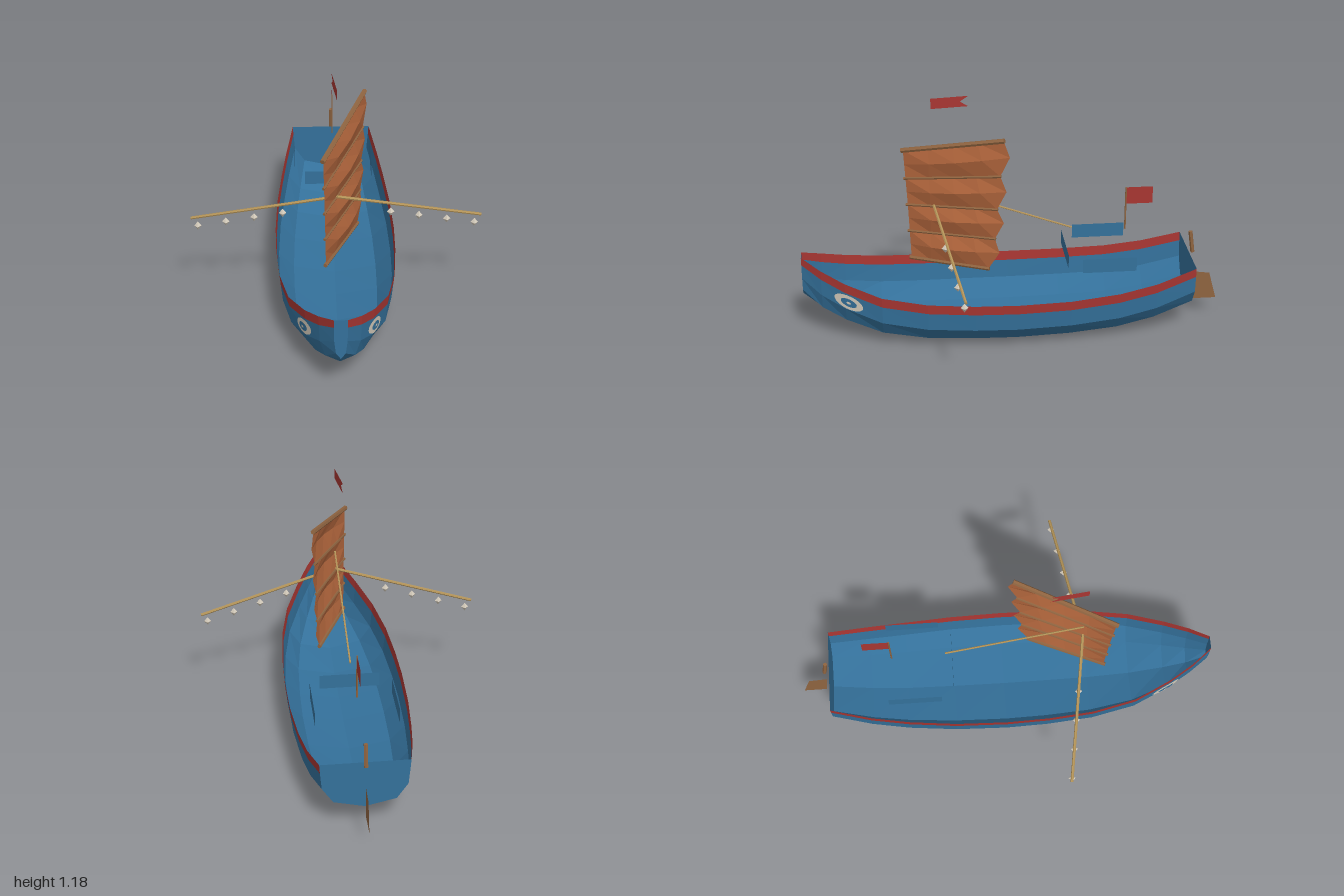
import * as THREE from 'three';

const mat = (name, color, flat = true) => {
  const m = new THREE.MeshStandardMaterial({ color, side: THREE.DoubleSide, flatShading: flat });
  m.name = name;
  return m;
};

// hull stations: z, half breadth, keel height, rail height
const STATIONS = [
  [1, 0.03, 0.22, 0.42], [0.91, 0.093, 0.14, 0.378], [0.8, 0.152, 0.088, 0.335],
  [0.63, 0.222, 0.035, 0.287], [0.42, 0.263, 0.01, 0.263], [0.2, 0.28, 0.003, 0.253],
  [0, 0.285, 0, 0.25], [-0.25, 0.278, 0.006, 0.254], [-0.48, 0.258, 0.02, 0.27],
  [-0.66, 0.235, 0.055, 0.3], [-0.85, 0.2, 0.12, 0.355],
];
// half section: share of breadth, share of height
const SECTION = [[0, 0], [0.7, 0.14], [0.95, 0.46], [0.985, 0.81], [1, 1]];

// surface from a grid of points given by rows
function gridGeometry(rows) {
  const n = rows[0].length, index = [];
  for (let i = 0; i < rows.length - 1; i++)
    for (let j = 0; j < n - 1; j++) {
      const a = i * n + j, b = a + n;
      index.push(a, b, a + 1, a + 1, b, b + 1);
    }
  const g = new THREE.BufferGeometry();
  g.setAttribute('position', new THREE.Float32BufferAttribute(rows.flat(2), 3));
  g.setIndex(index);
  g.computeVertexNormals();
  return g;
}

const sectionPoint = ([z, w, k, r], [u, v], side) => [side * w * u, k + (r - k) * v, z];

// outer half breadth of the hull at a height and z
function hullX(y, z) {
  let i = 0;
  while (i < STATIONS.length - 2 && STATIONS[i + 1][0] > z) i++;
  const A = STATIONS[i], B = STATIONS[i + 1], t = (z - A[0]) / (B[0] - A[0]);
  const [, w, k, r] = A.map((a, n) => a + (B[n] - a) * t);
  const v = (y - k) / (r - k);
  let j = 0;
  while (j < SECTION.length - 2 && SECTION[j + 1][1] < v) j++;
  const [u0, v0] = SECTION[j], [u1, v1] = SECTION[j + 1];
  return w * (u0 + (u1 - u0) * (v - v0) / (v1 - v0));
}

export function createModel() {
  const model = new THREE.Group();
  model.name = 'sailingBoat';
  const blue = mat('hull blue', 0x34719b), red = mat('rail red', 0xa83632);
  const canvas = mat('sail orange brown', 0xb0653c), wood = mat('wood', 0x8f6440);
  const bamboo = mat('bamboo', 0xb39358), cream = mat('cream', 0xd6cdbd);

  const add = (name, geometry, material, parent = model) => {
    const m = new THREE.Mesh(geometry, material);
    m.name = name;
    parent.add(m);
    return m;
  };
  const V = (p) => new THREE.Vector3(...p);
  // round bar between two points
  const bar = (name, p, q, r, material, sides = 6) => {
    const a = V(p), b = V(q), d = b.clone().sub(a);
    const m = add(name, new THREE.CylinderGeometry(r, r, d.length(), sides), material);
    m.position.copy(a).add(b).multiplyScalar(0.5);
    m.quaternion.setFromUnitVectors(new THREE.Vector3(0, 1, 0), d.normalize());
    return m;
  };
  // thin sheet drawn in the z-y plane at x = 0
  const sheet = (name, points, material, x = 0) => {
    const g = new THREE.ShapeGeometry(new THREE.Shape(points.map(([z, y]) => new THREE.Vector2(-z, y))));
    g.rotateY(Math.PI / 2);
    return add(name, g, material).translateX(x);
  };

  // open hull shell and red rail strakes
  const lower = SECTION.slice(0, 4);
  add('hull', gridGeometry(STATIONS.map((s) => [
    ...lower.slice(1).reverse().map((p) => sectionPoint(s, p, -1)),
    ...lower.map((p) => sectionPoint(s, p, 1)),
  ])), blue);
  for (const side of [1, -1])
    add('rail', gridGeometry(STATIONS.map((s) => SECTION.slice(3).map((p) => sectionPoint(s, p, side)))), red);

  // flat bow plate and transom
  for (const [name, s] of [['bowPlate', STATIONS[0]], ['transom', STATIONS.at(-1)]])
    add(name, gridGeometry(SECTION.map((p) => [sectionPoint(s, p, -1), sectionPoint(s, p, 1)])), blue);

  // painted eyes that follow the hull planking
  for (const side of [1, -1])
    for (const [name, size, lift, material] of [['eyeWhite', 1, 0.004, cream], ['iris', 0.56, 0.007, blue], ['pupil', 0.17, 0.009, cream]]) {
      const g = new THREE.RingGeometry(0.001, size, 20, 4), p = g.attributes.position;
      for (let i = 0; i < p.count; i++) {
        const a = p.getX(i) * 0.07, b = p.getY(i) * 0.036;
        const z = 0.785 + a * 0.92 - b * 0.38, y = 0.24 + a * 0.38 + b * 0.92;
        p.setXYZ(i, side * (hullX(y, z) + lift), y, z);
      }
      g.computeVertexNormals();
      add(name, g, material);
    }

  // cabin panels
  const front = add('cabinFrontPanel', new THREE.PlaneGeometry(0.28, 0.07), blue);
  front.position.set(0, 0.39, -0.25);
  for (const x of [0.19, -0.19])
    sheet('cabinSidePanel', [[-0.31, 0.355], [-0.565, 0.355], [-0.565, 0.425], [-0.31, 0.425]], blue, x);

  // battens: fore z, fore y, aft z, aft y, radius
  const battens = [
    [0.48, 0.357, 0.125, 0.357, 0.01], [0.485, 0.497, 0.095, 0.518, 0.007],
    [0.49, 0.632, 0.085, 0.67, 0.007], [0.497, 0.765, 0.07, 0.838, 0.007],
    [0.505, 0.905, 0.055, 1.015, 0.012],
  ];
  // the sail plane is swung round the mast line
  const swing = (z, y, out = 0) => [(0.36 - z) * 0.435 + out * 0.92, y, z + out * 0.4];
  for (const [z0, y0, z1, y1, r] of battens)
    bar(r > 0.008 ? 'yard' : 'batten', swing(z0 + 0.008, y0), swing(z1 - 0.004, y1), r, wood);

  // sail cloth bellying between battens, with a scalloped trailing edge
  const cols = 4, rows = [];
  const row = (z0, y0, z1, y1, belly) => rows.push(Array.from({ length: cols + 1 }, (_, i) => {
    const t = i / cols;
    return swing(z0 + (z1 - z0) * t, y0 + (y1 - y0) * t, belly * Math.sin(Math.PI * t));
  }));
  battens.forEach((b, i) => {
    row(b[0], b[1], b[2], b[3], 0);
    const n = battens[i + 1];
    if (!n) return;
    const [z0, y0, z1, y1] = b.slice(0, 4).map((v, k) => (v + n[k]) / 2);
    row(z0, y0, z1 - 0.035, y1 + 0.01, 0.025);
  });
  add('sail', gridGeometry(rows), canvas);

  // lantern poles with hanging lanterns
  for (const side of [1, -1]) {
    bar('lanternPole', [0, 0.647, 0.37], [side * 0.665, 0.485, 0.27], 0.007, bamboo);
    for (const x of [0.245, 0.375, 0.505, 0.635]) {
      const lantern = add('lantern', new THREE.OctahedronGeometry(0.017), cream);
      lantern.scale.y = 1.28;
      lantern.position.set(side * x, 0.605 - x * 0.25, 0.37 - x * 0.15);
    }
  }
  bar('stay', [0, 0.742, 0.37], [0, 0.505, -0.28], 0.0045, bamboo);

  // swallow-tailed pennant
  const pennant = sheet('pennant', [[0, -0.025], [-0.175, -0.025], [-0.135, 0], [-0.175, 0.025], [0, 0.025]], red);
  pennant.position.set(0, 1.155, 0.375);
  pennant.rotation.y = 0.115;

  // stern flag
  bar('flagStaff', [0, 0.485, -0.537], [0, 0.7, -0.537], 0.004, wood);
  sheet('sternFlag', [[-0.537, 0.615], [-0.665, 0.615], [-0.665, 0.7], [-0.537, 0.7]], red);

  // rudder
  bar('rudderStock', [0, 0.345, -0.872], [0, 0.455, -0.857], 0.01, wood);
  sheet('rudderBlade', [[-0.872, 0.238], [-0.962, 0.225], [-1, 0.088], [-0.888, 0.088]], wood);

  return model;
}
